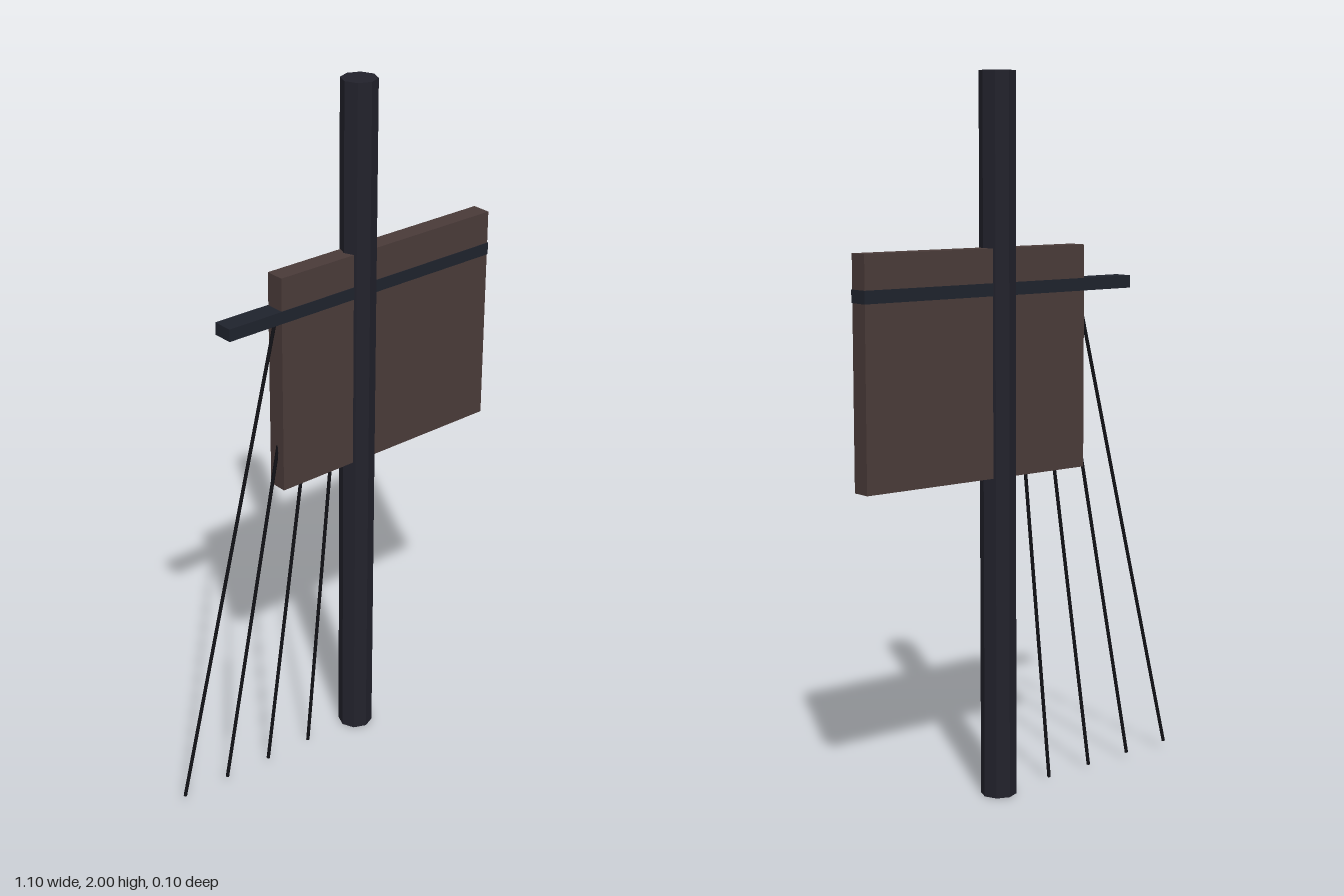
import * as THREE from 'three';

const mat = (name, color, flatShading = false) => {
  const m = new THREE.MeshStandardMaterial({ color, flatShading });
  m.name = name;
  return m;
};

export function createModel() {
  const group = new THREE.Group();
  const mastDark = mat('dark mast wood', 0x22222c, true);
  const yardDark = mat('dark yard wood', 0x1f232d);
  const sailBrown = mat('brown sail', 0x4a3b39);
  const ropeBlack = mat('black rope', 0x111116);

  const add = (name, geometry, material, x, y, z = 0) => {
    const mesh = new THREE.Mesh(geometry, material);
    mesh.name = name;
    mesh.position.set(x, y, z);
    group.add(mesh);
    return mesh;
  };
  // Box given by its left, right, bottom and top edges
  const slab = (name, material, x0, x1, y0, y1, depth) =>
    add(name, new THREE.BoxGeometry(x1 - x0, y1 - y0, depth), material, (x0 + x1) / 2, (y0 + y1) / 2);

  // Eight-sided mast
  add('mast', new THREE.CylinderGeometry(0.05, 0.05, 2, 8), mastDark, 0.09, 1);

  // Sail panel, with the yard just proud of its faces
  slab('sail', sailBrown, -0.195, 0.545, 0.905, 1.53, 0.056);
  slab('yard', yardDark, -0.367, 0.547, 1.402, 1.437, 0.059);

  // Fan of rigging ropes running from the yard down to the left
  const up = new THREE.Vector3(0, 1, 0);
  for (let i = 0; i < 4; i++) {
    const foot = new THREE.Vector3(-0.545 + i * 0.15, 0.025 - i * 0.006, 0);
    const head = new THREE.Vector3(-0.191 + i * 0.078, 1.418, 0);
    const dir = head.clone().sub(foot);
    const mid = head.clone().add(foot).multiplyScalar(0.5);
    const rope = add('rope' + (i + 1), new THREE.CylinderGeometry(0.005, 0.005, dir.length(), 6), ropeBlack, mid.x, mid.y);
    rope.quaternion.setFromUnitVectors(up, dir.normalize());
  }

  return group;
}
